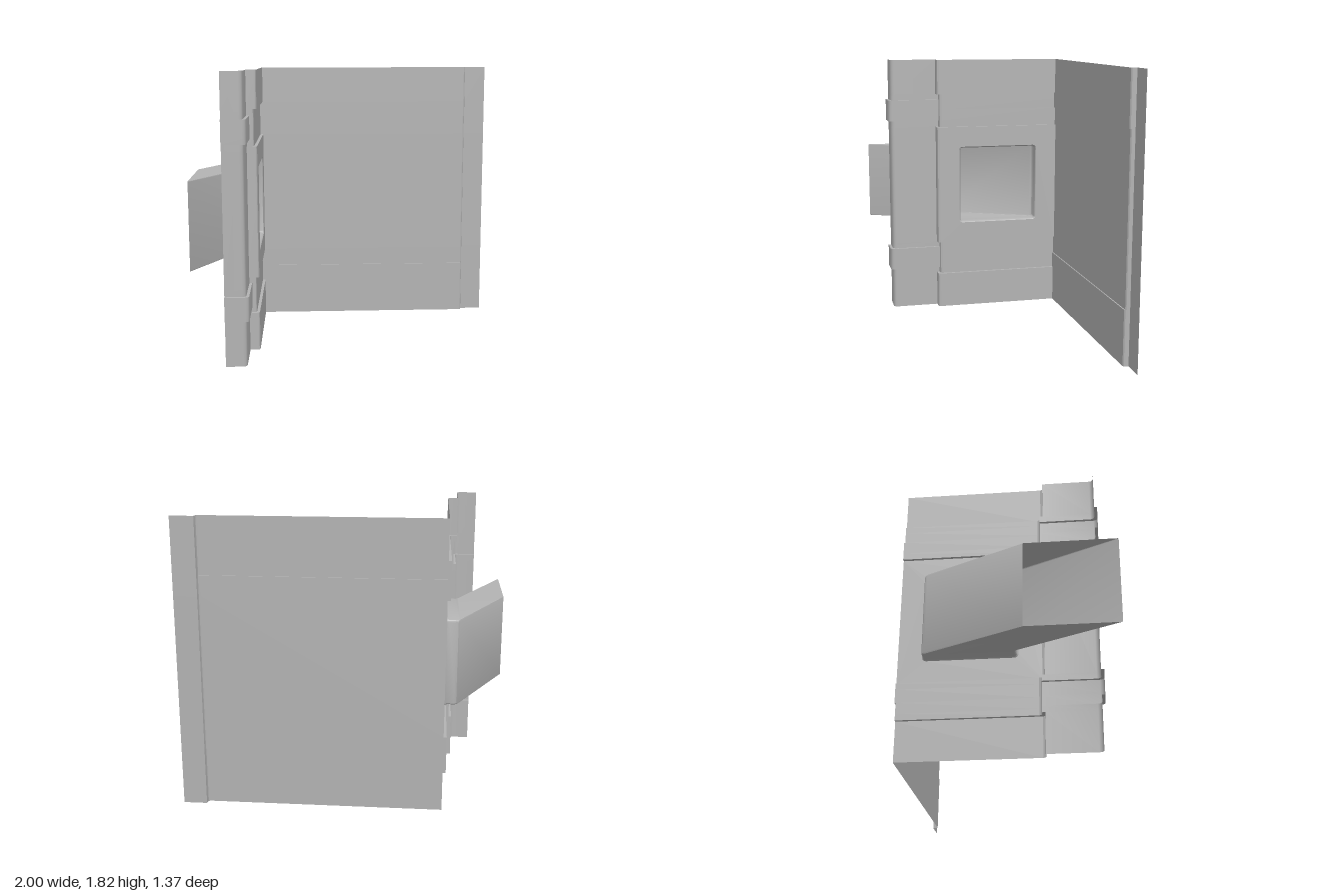
import * as THREE from 'three';
import { toCreasedNormals } from 'three/addons/utils/BufferGeometryUtils.js';

const H = 1.815;
const within = (y, ranges) => ranges.some(([a, b]) => y > a && y < b);

// Plan outline [x, z] of the folded sheet at height y
function section(y) {
  const recessed = within(y, [[0.25, 0.485], [1.335, 1.57]]);
  const clasp = within(y, [[0.29, 0.445], [1.38, 1.53]]);
  const back = within(y, [[0.36, 1.46]]) ? -0.663 : -0.656;
  const wall = recessed ? -0.636 : -0.617;
  const lip = recessed ? 0.205 : 0.224;
  const o = clasp ? 0.018 : 0;
  const hx = -0.682 + o, hz = 0.548 + o;
  return {
    hook: [[-0.815, hz], [hx - 0.024, hz], [hx - 0.01, hz - 0.006], [hx - 0.003, hz - 0.014],
      [hx, hz - 0.026], [hx, lip], [wall - 0.016, lip], [wall - 0.005, lip - 0.005], [wall, lip - 0.018]],
    wall: [[wall, lip - 0.018], [wall, back]],
    panel: [[wall, back], [0.842, back], [0.85, back - 0.006], [0.853, back - 0.014], [0.855, -0.69], [1, -0.69]],
  };
}

// Surface through rows of 3D points
function loft(rows) {
  const pos = [];
  for (let i = 0; i < rows.length - 1; i++) {
    for (let j = 0; j < rows[i].length - 1; j++) {
      const a = rows[i][j], b = rows[i][j + 1], c = rows[i + 1][j + 1], d = rows[i + 1][j];
      const same = (p, q) => p.every((v, k) => Math.abs(v - q[k]) < 1e-6);
      if (!same(a, b) && !same(b, c)) pos.push(...a, ...b, ...c);
      if (!same(a, d) && !same(c, d)) pos.push(...a, ...c, ...d);
    }
  }
  const g = new THREE.BufferGeometry();
  g.setAttribute('position', new THREE.Float32BufferAttribute(pos, 3));
  return toCreasedNormals(g, 0.5);
}

// Closed rounded rectangle as [z, y] pairs
function ring(z0, z1, y0, y1, r) {
  const pts = [];
  [[z1 - r, y1 - r], [z0 + r, y1 - r], [z0 + r, y0 + r], [z1 - r, y0 + r]].forEach(([z, y], q) => {
    for (let k = 0; k <= 3; k++) {
      const t = (q + k / 3) * Math.PI / 2;
      pts.push([z + r * Math.cos(t), y + r * Math.sin(t)]);
    }
  });
  pts.push(pts[0]);
  return pts;
}

export function createModel() {
  const group = new THREE.Group();
  const grey = new THREE.MeshStandardMaterial({ color: 0xb3b3b3, side: THREE.DoubleSide });
  grey.name = 'sheetGrey';
  const add = (name, geometry) => {
    const mesh = new THREE.Mesh(geometry, grey);
    mesh.name = name;
    group.add(mesh);
    return mesh;
  };

  // Folded sheet: each height band is a straight run, joined by small steps
  const levels = [0, 0.25, 0.29, 0.36, 0.445, 0.485, 1.335, 1.38, 1.46, 1.53, 1.57, H];
  const rowsFor = (part, from, to) => {
    const rows = [];
    for (let i = from; i < to; i++) {
      const s = section((levels[i] + levels[i + 1]) / 2)[part];
      for (const y of [levels[i], levels[i + 1]]) rows.push(s.map(([x, z]) => [x, y, z]));
    }
    return rows;
  };
  const last = levels.length - 1;
  add('hookedFlange', loft(rowsFor('hook', 0, last)));
  add('backPanel', loft(rowsFor('panel', 0, last)));
  add('lowerSideWall', loft(rowsFor('wall', 0, 5)));
  add('upperSideWall', loft(rowsFor('wall', 6, last)));

  // Raised middle of the side wall, with the duct opening
  const rim = ring(-0.516, 0.066, 0.63, 1.19, 0.025);
  const plate = new THREE.Shape([[-0.663, 0.485], [0.206, 0.485], [0.206, 1.335], [-0.663, 1.335]]
    .map(([z, y]) => new THREE.Vector2(-z, y)));
  plate.holes.push(new THREE.Path(rim.slice(0, -1).map(([z, y]) => new THREE.Vector2(-z, y))));
  const plateGeometry = new THREE.ShapeGeometry(plate);
  plateGeometry.rotateY(Math.PI / 2);
  plateGeometry.translate(-0.617, 0, 0);
  add('middleSideWall', plateGeometry);

  // Steps joining the raised middle to the recessed bands
  for (const y of [0.485, 1.335]) {
    add('wallStep', loft([-0.617, -0.636].map((x, i) => [[x, y, i ? 0.187 : 0.206], [x, y, -0.663]])));
  }

  // Open slanted duct: x, rear z, front z, bottom, top, corner radius
  const stations = [
    [-0.617, -0.516, 0.066, 0.63, 1.19, 0.025],
    [-0.622, -0.511, 0.058, 0.635, 1.185, 0.02],
    [-0.635, -0.508, 0.052, 0.639, 1.181, 0.015],
    [-0.68, -0.508, 0.052, 0.64, 1.18, 0.012],
    [-0.69, -0.503, 0.057, 0.64, 1.18, 0.012],
    [-0.70, -0.488, 0.071, 0.64, 1.18, 0.008],
    [-1, 0.125, 0.68, 0.64, 1.18, 0.004],
  ];
  add('duct', loft(stations.map(([x, ...r]) => ring(...r).map(([z, y]) => [x, y, z]))));

  return group;
}
